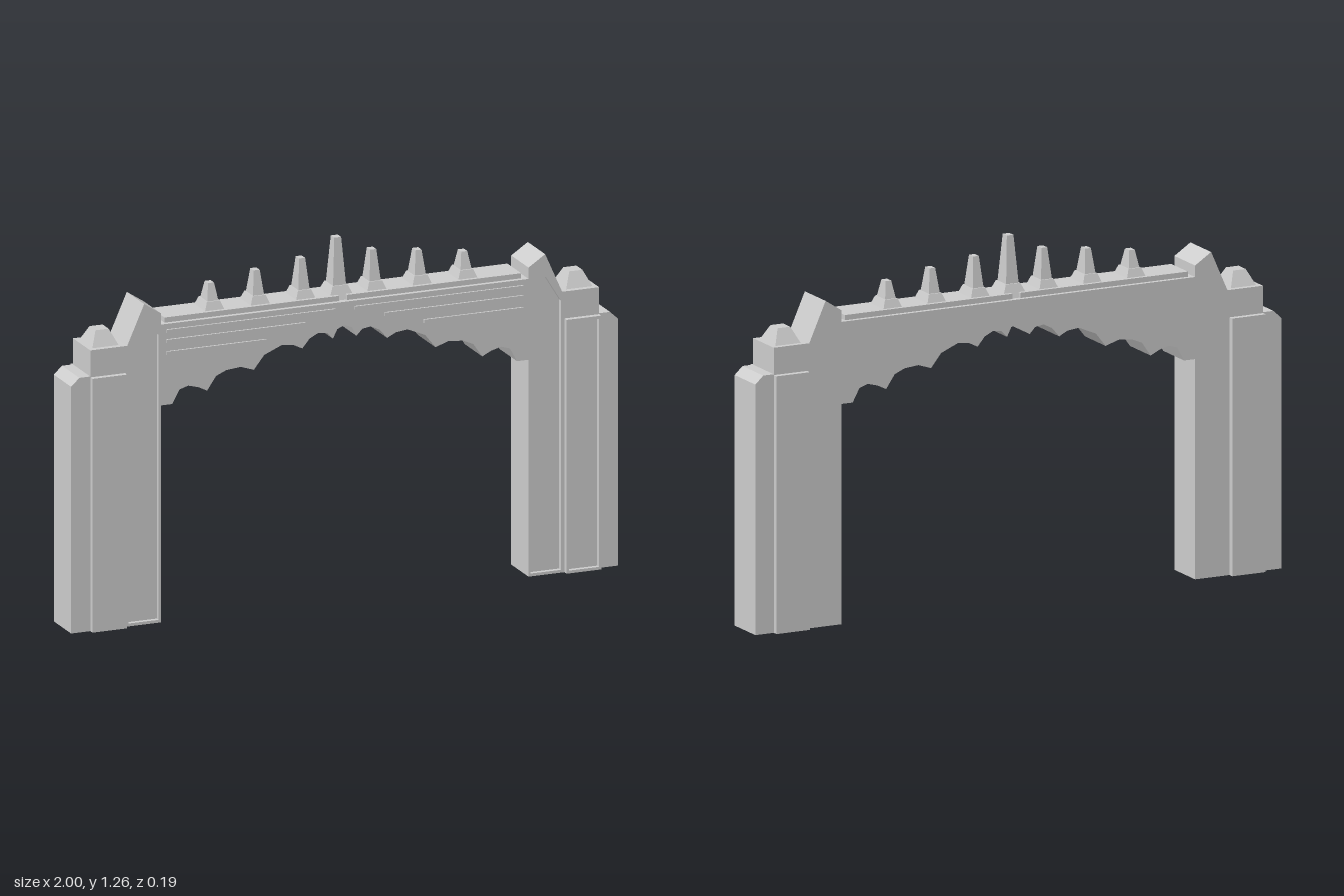
import * as THREE from 'three';

const mat = new THREE.MeshStandardMaterial({ color: 0xcccccc, flatShading: true });

export function createModel() {
  const group = new THREE.Group();

  const add = (name, geometry, x = 0, y = 0, z = 0) => {
    const mesh = new THREE.Mesh(geometry, mat);
    mesh.name = name;
    mesh.position.set(x, y, z);
    group.add(mesh);
    return mesh;
  };
  const box = (name, x0, x1, y0, y1, z0, z1) =>
    add(name, new THREE.BoxGeometry(x1 - x0, y1 - y0, z1 - z0), (x0 + x1) / 2, (y0 + y1) / 2, (z0 + z1) / 2);
  const points = (list) => list.map(([x, y]) => new THREE.Vector2(x, y));
  const extrude = (name, outline, holes, z0, z1) => {
    const shape = new THREE.Shape(points(outline));
    for (const hole of holes) shape.holes.push(new THREE.Path(points(hole)));
    return add(name, new THREE.ExtrudeGeometry(shape, { depth: z1 - z0, bevelEnabled: false }), 0, 0, z0);
  };
  // Box whose upper face is narrowed to a smaller rectangle
  const frustum = (name, x, y0, y1, bx, bz, tx, tz) => {
    const geometry = new THREE.BoxGeometry(2, y1 - y0, 2);
    const p = geometry.attributes.position;
    for (let i = 0; i < p.count; i++) {
      const top = p.getY(i) > 0;
      p.setX(i, p.getX(i) * (top ? tx : bx));
      p.setZ(i, p.getZ(i) * (top ? tz : bz));
    }
    geometry.computeVertexNormals();
    return add(name, geometry, x, (y0 + y1) / 2, 0);
  };
  const mirror = (list) => list.map(([x, y]) => [-x, y]).reverse();

  // Right half of the gate outline: scalloped underside, leg, shoulder, gable
  const half = [
    [0.027, 0.957], [0.043, 0.925],
    [0.064, 0.947], [0.096, 0.952], [0.128, 0.936], [0.155, 0.904],
    [0.187, 0.92], [0.23, 0.925], [0.294, 0.898], [0.332, 0.85],
    [0.38, 0.866], [0.433, 0.861], [0.47, 0.845], [0.503, 0.797],
    [0.535, 0.813], [0.572, 0.823], [0.604, 0.813], [0.63, 0.765],
    [0.672, 0.765], [0.672, 0], [1, 0], [1, 0.87], [0.97, 0.898],
    [0.93, 0.898], [0.93, 0.99], [0.795, 0.99], [0.733, 1.13], [0.672, 1.09], [0.672, 1.05],
  ];
  const outline = [[0, 0.968], ...half, ...mirror(half)];
  const niche = [[0.68, 0.01], [0.79, 0.01], [0.79, 0.96], [0.735, 1.05], [0.68, 1.015]];

  // Wall: solid back layer, front layer pierced by pointed niches
  extrude('archWall', outline, [], -0.075, 0.06);
  extrude('archFace', outline, [niche, mirror(niche)], 0.06, 0.076);

  // Pilasters with a framed front, and caps above them
  for (const s of [-1, 1]) {
    const rect = (a, b, c, d) => [[s * a, c], [s * b, c], [s * b, d], [s * a, d]];
    const x0 = Math.min(s * 0.803, s * 0.93), x1 = Math.max(s * 0.803, s * 0.93);
    box('pilaster', x0, x1, 0, 0.895, -0.095, 0.079);
    extrude('pilasterFrame', rect(0.803, 0.93, 0, 0.895), [rect(0.812, 0.922, 0.01, 0.885)], 0.079, 0.095);
    frustum('pilasterCap', s * 0.866, 0.99, 1.042, 0.048, 0.056, 0.024, 0.026);

    // Ledge on top of the beam, split at the middle
    box('ledge', s > 0 ? 0.015 : -0.652, s > 0 ? 0.652 : -0.015, 1.05, 1.068, -0.06, 0.06);

    // Front mouldings, shorter towards the bottom
    for (const [inner, y] of [[0.035, 1.025], [0.145, 0.99], [0.288, 0.948]])
      box('moulding', s > 0 ? inner : -0.652, s > 0 ? 0.652 : -inner, y - 0.006, y + 0.006, 0.07, 0.083);
  }

  // Stepped finials along the beam
  for (const [x, top] of [[-0.463, 1.155], [-0.296, 1.18], [-0.13, 1.202], [0, 1.26],
    [0.13, 1.202], [0.296, 1.18], [0.463, 1.155]]) {
    const k = x === 0 ? 1.15 : 1;
    frustum('finialBase', x, 1.05, 1.096, 0.042 * k, 0.054, 0.024 * k, 0.036);
    frustum('finialSpire', x, 1.09, top, 0.021 * k, 0.032, 0.011 * k, 0.015);
  }
  return group;
}
